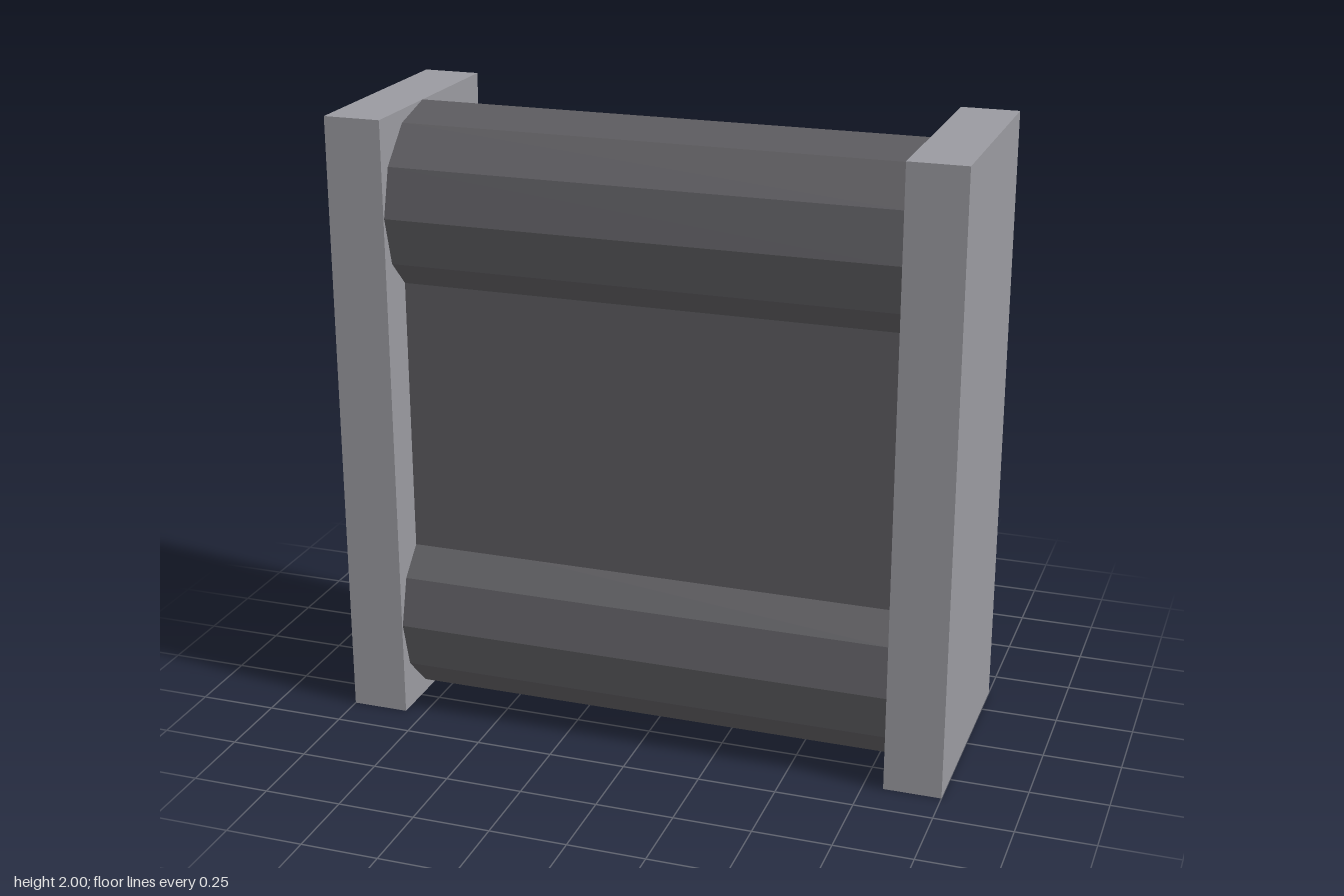
import * as THREE from 'three';

const material = (color) => new THREE.MeshStandardMaterial({ color, flatShading: true });

export function createModel() {
  const model = new THREE.Group();
  model.name = 'rollerFrame';

  const postGrey = material(0x9a9aa0);
  const bodyDark = material(0x5c5b5f);
  const stripGrey = material(0x6e6e74);
  const brass = material(0xd4b85a);

  const add = (name, geometry, mat, x, y, z) => {
    const mesh = new THREE.Mesh(geometry, mat);
    mesh.name = name;
    mesh.position.set(x, y, z);
    model.add(mesh);
    return mesh;
  };

  const postWidth = 0.185;
  const innerWidth = 2 - 2 * postWidth;
  const rollRadius = 0.31;
  const rollZ = 0.06;
  const backZ = rollZ - rollRadius;
  const panelFrontZ = 0.243;

  // Upright side posts
  for (const [side, s] of [['left', 1], ['right', -1]]) {
    add(side + 'Post', new THREE.BoxGeometry(postWidth, 2, 0.75), postGrey, s * (1 - postWidth / 2), 1, 0);
  }

  // Twelve-sided rolls and the raised strips behind them, mirrored about mid height
  for (const [level, s] of [['upper', 1], ['lower', -1]]) {
    const roll = new THREE.CylinderGeometry(rollRadius, rollRadius, innerWidth, 12);
    roll.rotateZ(Math.PI / 2);
    add(level + 'Roll', roll, bodyDark, 0, 1 + s * (1 - rollRadius), rollZ);
    add(level + 'BackStrip', new THREE.BoxGeometry(innerWidth, 0.095, 0.06), stripGrey,
      0, 1 + s * 0.38, backZ - 0.005);
  }

  // Panel between the rolls, flush with their back
  add('centrePanel', new THREE.BoxGeometry(innerWidth, 2 - 2 * rollRadius, panelFrontZ - backZ), bodyDark,
    0, 1, (panelFrontZ + backZ) / 2).scale.y = 1;

  // Small plate on the back
  add('backPlate', new THREE.BoxGeometry(0.38, 0.26, 0.04), brass, 0, 1, backZ);

  return model;
}
